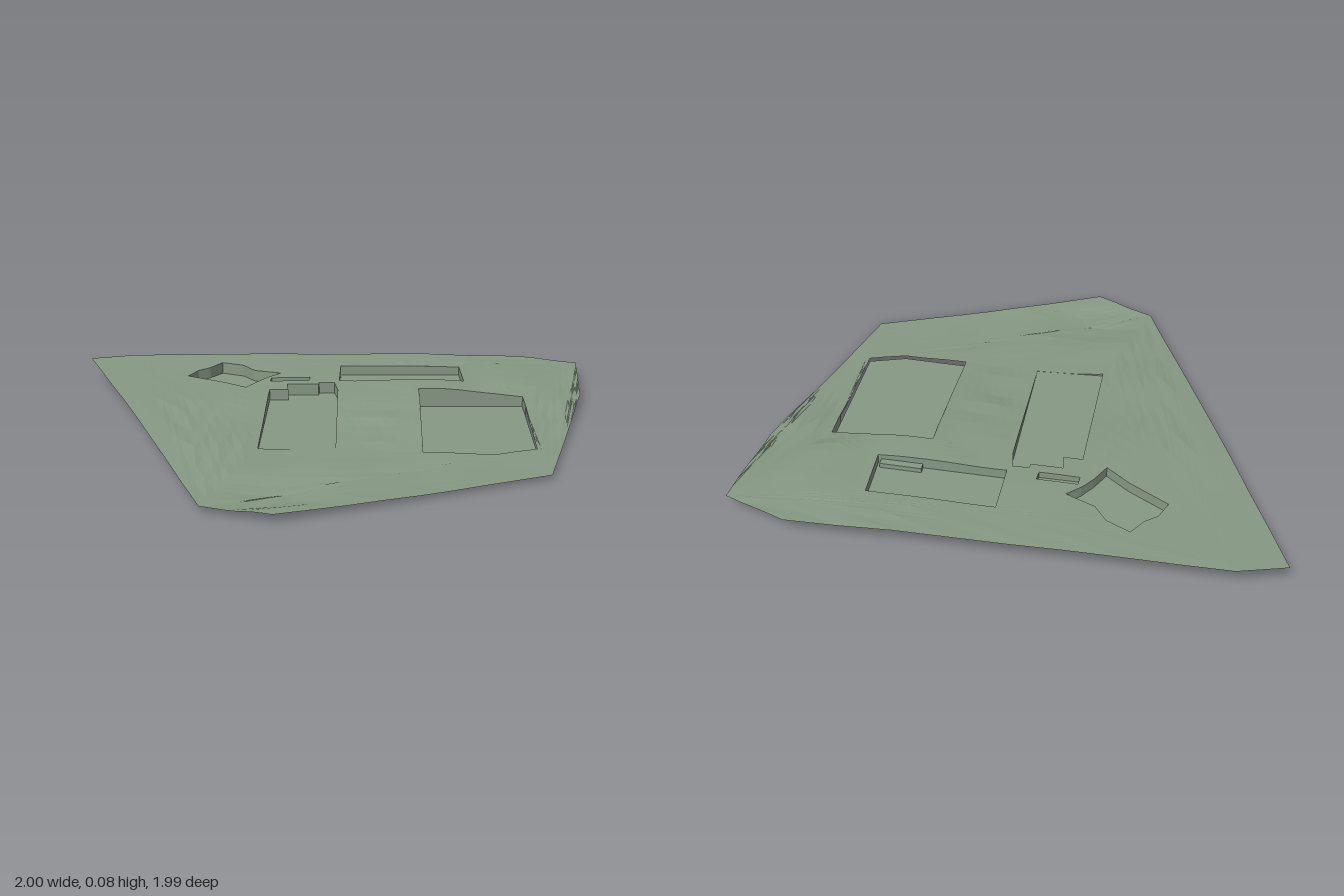
import * as THREE from 'three';

const LEVELS = 3;
const material = new THREE.MeshStandardMaterial({ color: 0x869983, side: THREE.DoubleSide, flatShading: true });

// Plan outline of the land, as x, z corners
const OUTLINE = [[-0.97, -1], [-0.77, -0.98], [0.8, -0.36], [1, -0.17], [0.8, 0.21], [0.23, 0.98], [-0.81, 0.99], [-1, 0.8]];

// Survey points of the ground: x, z, height
const SURVEY = [
  [-0.97, -1, 0.077], [-0.77, -0.98, 0.077], [0.8, -0.36, 0.06], [1, -0.17, 0.055],
  [0.8, 0.21, 0.035], [0.23, 0.98, 0.015], [-0.81, 0.99, 0.03], [-1, 0.8, 0.02],
  [-0.75, 0.8, 0.004], [-0.2, 0.8, 0.01], [0.1, 0.8, 0.012], [-0.2, 0.6, 0.02],
  [-0.2, 0.35, 0.035], [-0.5, 0.5, 0.028], [-0.8, 0.5, 0.035], [-0.8, 0.2, 0.055],
  [-0.8, -0.3, 0.072], [-0.1, 0.2, 0.055], [0, 0, 0.07], [0.2, -0.02, 0.078],
  [0.57, 0, 0.07], [0.6, 0.2, 0.042], [0.5, 0.42, 0.02], [0.4, 0.7, 0.015],
  [-0.5, -0.3, 0.073], [-0.2, -0.4, 0.078], [-0.3, -0.7, 0.079], [0.3, -0.5, 0.075],
  [0.2, -0.12, 0.078], [0.6, -0.15, 0.07],
];

// Sunken building plots: corners, floor height, and walled edges (all if omitted)
const PLOTS = [
  {
    name: 'eastPlot', floor: 0,
    corners: [[0.16, 0], [0.55, 0.17], [0.5, 0.29], [0.32, 0.71], [0.16, 0.7], [-0.09, 0.59], [0.12, 0.1]],
    walls: [0, 1, 6],
  },
  {
    name: 'longPlot', floor: 0.028,
    corners: [[-0.4, -0.24], [-0.33, -0.21], [-0.31, -0.28], [-0.19, -0.23], [-0.18, -0.25], [-0.12, -0.23],
      [-0.14, -0.14], [-0.38, 0.45], [-0.65, 0.36]],
  },
  { name: 'northPlot', floor: 0.032, corners: [[0, -0.46], [0.47, -0.26], [0.39, -0.05], [-0.09, -0.25]] },
  {
    name: 'cottagePlot', floor: 0.03,
    corners: [[-0.46, -0.7], [-0.39, -0.62], [-0.37, -0.53], [-0.28, -0.44], [-0.35, -0.41], [-0.41, -0.37],
      [-0.48, -0.31], [-0.54, -0.42], [-0.65, -0.57], [-0.59, -0.63], [-0.53, -0.65]],
  },
  { name: 'stairPlot', floor: 0.05, corners: [[-0.34, -0.39], [-0.19, -0.33], [-0.21, -0.29], [-0.36, -0.35]] },
];

// Ground height: survey points blended by inverse distance
function groundHeight(x, z) {
  let sum = 0, total = 0;
  for (const [px, pz, h] of SURVEY) {
    const weight = 1 / ((x - px) ** 2 + (z - pz) ** 2 + 1e-4) ** 1.6;
    sum += weight * h;
    total += weight;
  }
  return sum / total;
}

const toPoints = (corners) => corners.map(([x, z]) => new THREE.Vector2(x, -z));

function meshFrom(name, positions) {
  const geometry = new THREE.BufferGeometry();
  geometry.setAttribute('position', new THREE.Float32BufferAttribute(positions, 3));
  geometry.computeVertexNormals();
  const mesh = new THREE.Mesh(geometry, material);
  mesh.name = name;
  return mesh;
}

// Land surface: outline with holes, split into smaller triangles and draped
function makeGround() {
  const shape = new THREE.Shape(toPoints(OUTLINE));
  shape.holes = PLOTS.map((plot) => new THREE.Path(toPoints(plot.corners)));
  const flat = new THREE.ShapeGeometry(shape).toNonIndexed().attributes.position;
  const positions = [];
  const split = (a, b, c, level) => {
    if (level === 0) {
      for (const p of [a, b, c]) positions.push(p.x, groundHeight(p.x, -p.y), -p.y);
      return;
    }
    const ab = a.clone().lerp(b, 0.5), bc = b.clone().lerp(c, 0.5), ca = c.clone().lerp(a, 0.5);
    split(a, ab, ca, level - 1);
    split(ab, b, bc, level - 1);
    split(ca, bc, c, level - 1);
    split(ab, bc, ca, level - 1);
  };
  const corner = (i) => new THREE.Vector2(flat.getX(i), flat.getY(i));
  for (let i = 0; i < flat.count; i += 3) split(corner(i), corner(i + 1), corner(i + 2), LEVELS);
  return meshFrom('ground', positions);
}

// One plot: level floor and walls rising to the ground
function makePlot({ name, floor, corners, walls }) {
  const group = new THREE.Group();
  group.name = name;
  const floorMesh = new THREE.Mesh(
    new THREE.ShapeGeometry(new THREE.Shape(toPoints(corners))).rotateX(-Math.PI / 2).translate(0, floor, 0), material);
  floorMesh.name = name + 'Floor';
  group.add(floorMesh);

  const positions = [];
  const steps = 2 ** LEVELS;
  corners.forEach(([x0, z0], i) => {
    if (walls && !walls.includes(i)) return;
    const [x1, z1] = corners[(i + 1) % corners.length];
    for (let s = 0; s < steps; s++) {
      const [a, b] = [s / steps, (s + 1) / steps].map((t) => [x0 + (x1 - x0) * t, z0 + (z1 - z0) * t]);
      const topA = [a[0], Math.max(floor, groundHeight(...a)), a[1]];
      const topB = [b[0], Math.max(floor, groundHeight(...b)), b[1]];
      const lowA = [a[0], floor, a[1]], lowB = [b[0], floor, b[1]];
      positions.push(...lowA, ...topB, ...topA, ...lowA, ...lowB, ...topB);
    }
  });
  group.add(meshFrom(name + 'Walls', positions));
  return group;
}

export function createModel() {
  const model = new THREE.Group();
  model.name = 'terrain';
  model.add(makeGround());
  for (const plot of PLOTS) model.add(makePlot(plot));

  // Low step against the south edge of the north plot
  const step = new THREE.Mesh(new THREE.BoxGeometry(0.17, 0.02, 0.035), material);
  step.name = 'northPlotStep';
  step.position.set(0.305, 0.042, -0.1);
  step.rotation.y = -0.4;
  model.add(step);
  return model;
}
